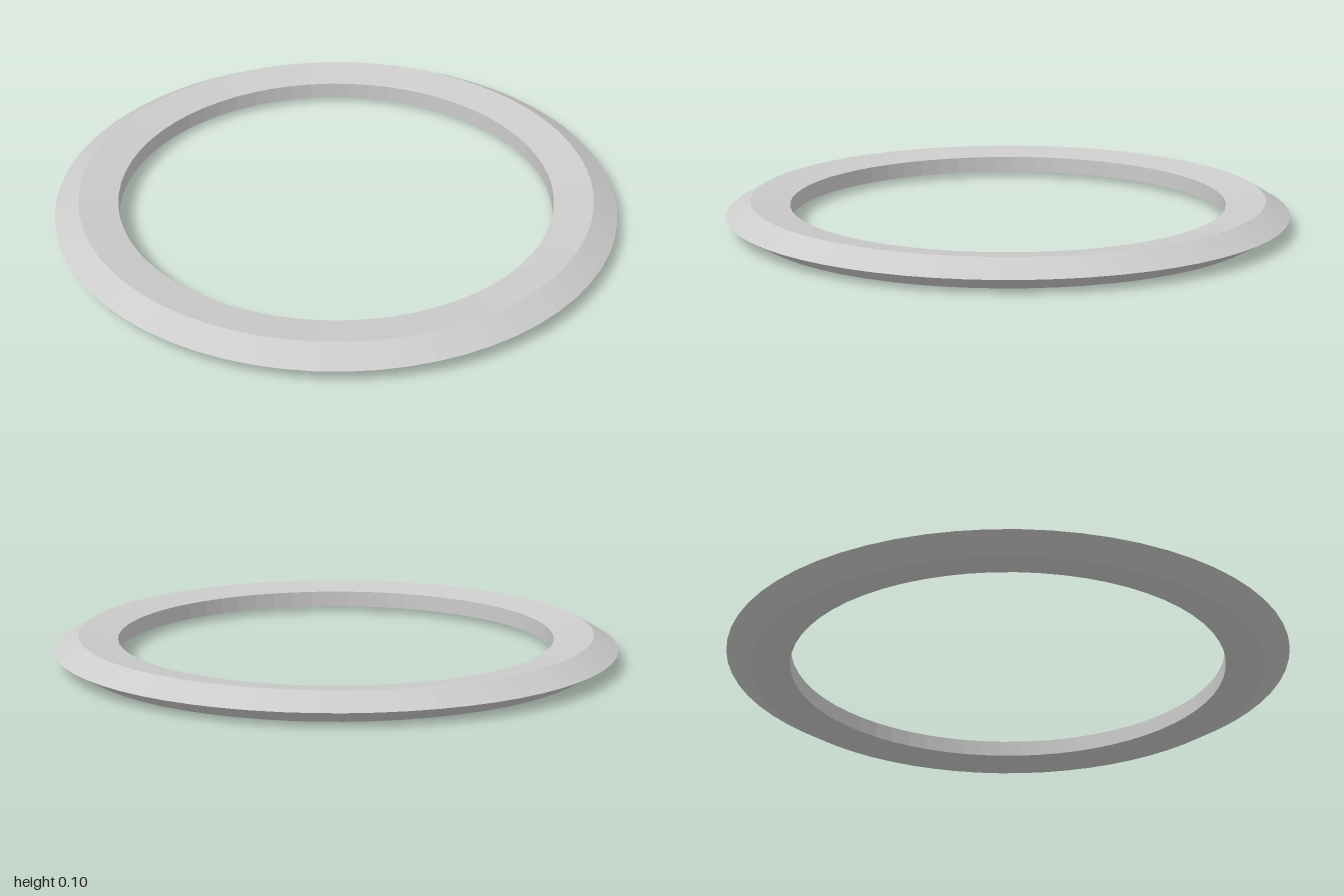
import * as THREE from 'three';

export function createModel() {
  const group = new THREE.Group();
  const material = new THREE.MeshStandardMaterial({ color: 0xcccccc, flatShading: true });

  // Closed cross-section: pointed outer rim, faces sloping in to a short upright bore
  const profile = [
    [0.775, 0.02],
    [0.914, 0],
    [1, 0.05],
    [0.914, 0.1],
    [0.775, 0.08],
    [0.775, 0.02],
  ].map(([r, y]) => new THREE.Vector2(r, y));

  const ring = new THREE.Mesh(new THREE.LatheGeometry(profile, 64), material);
  ring.name = 'ring';
  group.add(ring);
  return group;
}
